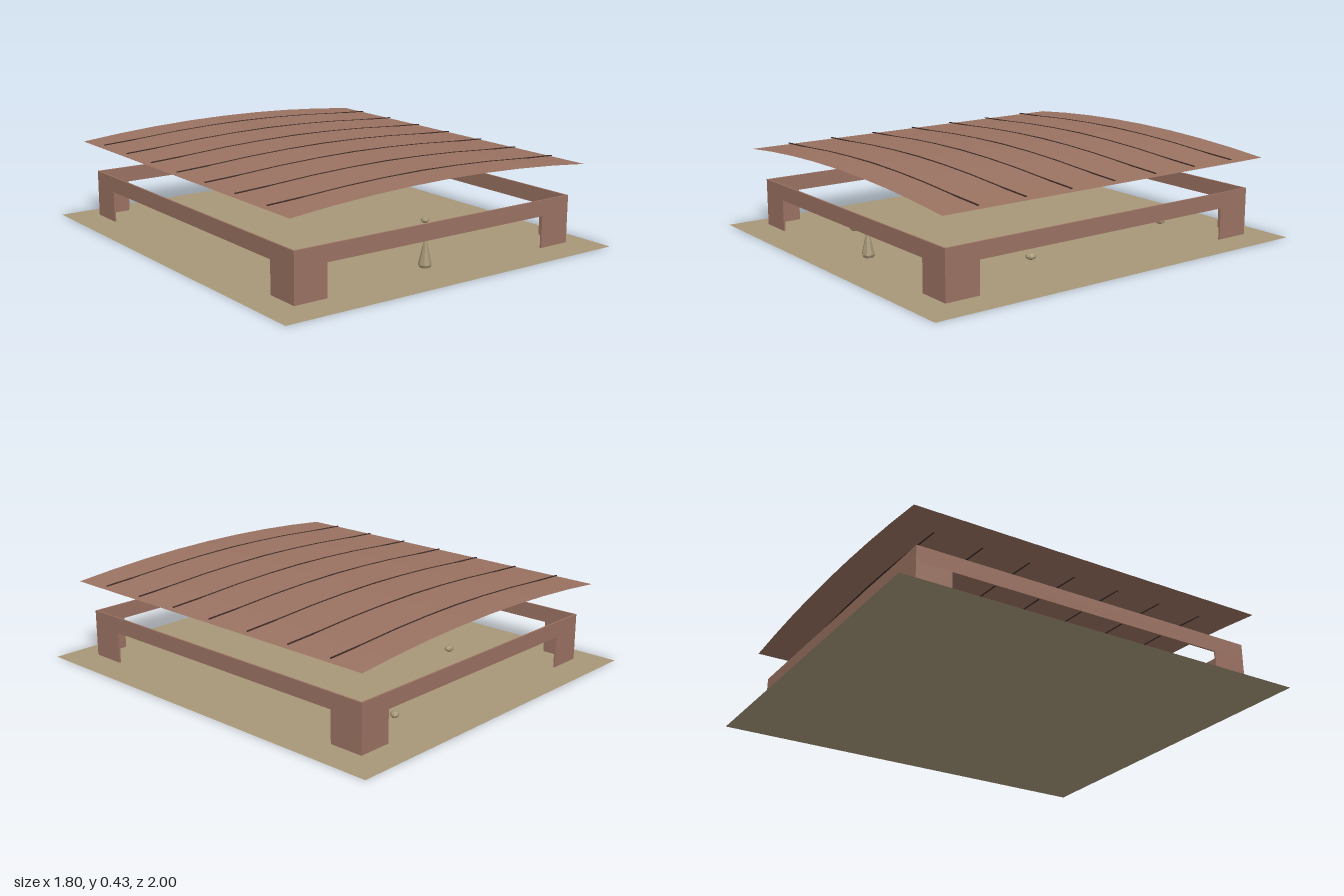
import * as THREE from 'three';

const mat = (name, color, side = THREE.FrontSide) => {
  const m = new THREE.MeshStandardMaterial({ color, side });
  m.name = name;
  return m;
};

export function createModel() {
  const group = new THREE.Group();
  const sand = mat('sand', 0xa8987a, THREE.DoubleSide);
  const stone = mat('stone', 0xa39473);
  stone.flatShading = true;
  const wood = mat('wood', 0x9b7262);
  const cloth = mat('roof', 0x9a7261, THREE.DoubleSide);
  const dark = mat('dark seam', 0x3f2c27);

  const add = (name, geo, material, x = 0, y = 0, z = 0, parent = group) => {
    const mesh = new THREE.Mesh(geo, material);
    mesh.name = name;
    mesh.position.set(x, y, z);
    parent.add(mesh);
    return mesh;
  };

  // Flat ground sheet
  add('ground', new THREE.PlaneGeometry(1.8, 2).rotateX(-Math.PI / 2), sand);

  // Gently arched roof sheet
  const roofY = x => 0.425 - 0.0655 * x * x;
  const roof = new THREE.PlaneGeometry(1.62, 1.8, 8, 1).rotateX(-Math.PI / 2);
  const p = roof.attributes.position;
  for (let i = 0; i < p.count; i++) p.setY(i, roofY(p.getX(i)));
  roof.computeVertexNormals();
  add('roof', roof, cloth);

  // Seven thin seams lying across the roof
  const seam = new THREE.BoxGeometry(1.58, 0.004, 0.007, 8, 1, 1);
  const sp = seam.attributes.position;
  for (let i = 0; i < sp.count; i++) {
    const x = sp.getX(i);
    sp.setY(i, sp.getY(i) + Math.max(roofY(x), 0.426 - 0.043 * Math.abs(x)));
  }
  seam.computeVertexNormals();
  for (let i = -3; i <= 3; i++) add('roofSeam', seam, dark, 0, 0, i * 0.2385);

  // Thin board frame: beams on four sides, with plate legs folded round the corners
  const X = 0.762, Z = 0.857, T = 0.008;
  const H = 0.225, legY = 0.01 + H / 2, beamY = 0.1975, beamH = 0.075;
  for (const s of [-1, 1]) {
    add(s > 0 ? 'frontBeam' : 'backBeam',
      new THREE.BoxGeometry(2 * X, beamH, T), wood, 0, beamY, s * (Z - T / 2));
    add(s > 0 ? 'leftBeam' : 'rightBeam',
      new THREE.BoxGeometry(T, beamH, 2 * (Z - T)), wood, s * (X - T / 2), beamY, 0);
    for (const t of [-1, 1]) {
      const leg = new THREE.Group();
      leg.name = 'cornerLeg';
      const drop = H - beamH, y = legY - beamH / 2;
      add('legAcross', new THREE.BoxGeometry(0.162, drop, T), wood,
        s * (X - 0.081), y, t * (Z - T / 2), leg);
      add('legAlong', new THREE.BoxGeometry(T, drop, 0.167 - T), wood,
        s * (X - T / 2), y, t * (Z - T - (0.167 - T) / 2), leg);
      group.add(leg);
    }
  }

  // Small pointed marker under the front beam
  const marker = [[0, 0.003], [0.024, 0.003], [0.03, 0.016], [0.003, 0.138], [0, 0.14]]
    .map(([r, y]) => new THREE.Vector2(r, y));
  add('marker', new THREE.LatheGeometry(marker, 8), stone, 0, 0, 0.75);

  // Scattered pebbles
  const pebble = new THREE.SphereGeometry(1, 8, 6);
  [[-0.45, -0.345], [-0.42, 0.575], [0.365, -0.69], [0.47, 0.2]].forEach(([x, z], i) => {
    const m = add('pebble', pebble, stone, x, 0.019, z);
    m.scale.set(0.025, 0.016, 0.02);
    m.rotation.y = i * 0.3;
  });

  return group;
}
